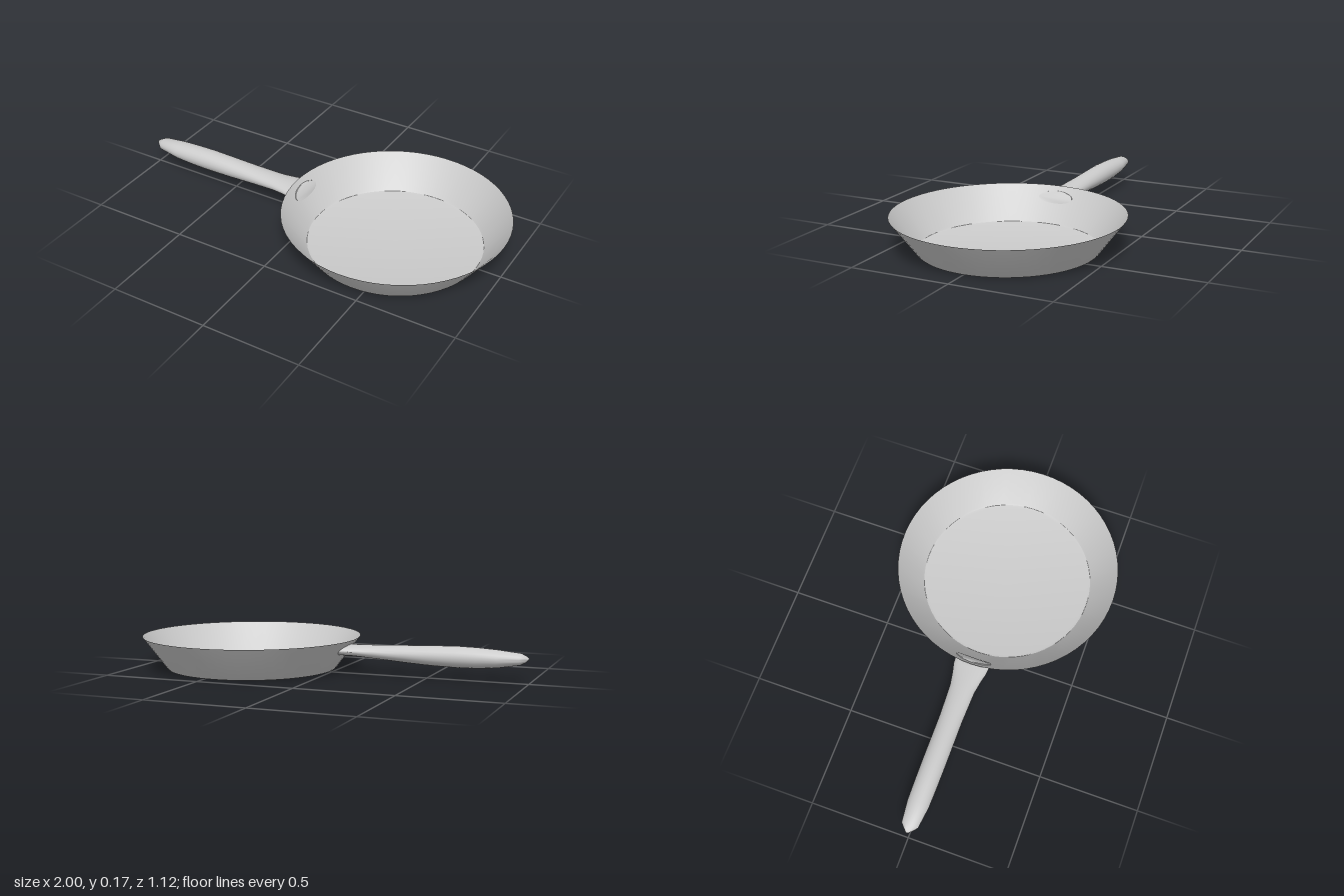
import * as THREE from 'three';
import { toCreasedNormals } from 'three/addons/utils/BufferGeometryUtils.js';

const PAN_X = 0.44;
const wallRadius = (y) => 0.44 + 0.12 * (y - 0.01) / 0.16;

// Thin sheet bowl: flat base, small rounded corner, flared wall
function makePan(material) {
  const profile = [[0, 0], [0.42, 0], [0.433, 0.003], [0.44, 0.01], [0.56, 0.17]]
    .map(([r, y]) => new THREE.Vector2(r, y));
  const pan = new THREE.Mesh(toCreasedNormals(new THREE.LatheGeometry(profile, 64), 0.4), material);
  pan.name = 'pan';
  pan.position.x = PAN_X;
  return pan;
}

// Handle lofted from oval sections: x, bottom y, top y, half width
function makeHandle(material) {
  const sections = [
    [-1, 0.118, 0.124, 0.004], [-0.985, 0.104, 0.135, 0.02], [-0.96, 0.09, 0.146, 0.042],
    [-0.85, 0.07, 0.157, 0.055], [-0.75, 0.062, 0.163, 0.057], [-0.65, 0.06, 0.165, 0.058],
    [-0.52, 0.063, 0.161, 0.058], [-0.4, 0.07, 0.156, 0.058], [-0.24, 0.082, 0.149, 0.064],
    [-0.17, 0.088, 0.147, 0.076], [-0.13, 0.091, 0.146, 0.086], [-0.08, 0.092, 0.146, 0.092],
  ];
  const sides = 24;
  const positions = [], indices = [];
  sections.forEach(([x, low, high, half], i) => {
    for (let j = 0; j < sides; j++) {
      const a = (j / sides) * Math.PI * 2;
      const y = (low + high) / 2 + Math.sin(a) * (high - low) / 2;
      const z = Math.cos(a) * half;
      // The last section follows the sloping, curved pan wall
      const last = i === sections.length - 1;
      positions.push(last ? PAN_X + 0.004 - Math.sqrt(wallRadius(y) ** 2 - z * z) : x, y, z);
      if (!last) {
        const k = (j + 1) % sides, p = i * sides, q = p + sides;
        indices.push(p + j, q + j, p + k, q + j, q + k, p + k);
      }
    }
  });
  // Close both ends
  const end = (sections.length - 1) * sides;
  for (let j = 1; j < sides - 1; j++) {
    indices.push(0, j, j + 1, end, end + j + 1, end + j);
  }
  const geometry = new THREE.BufferGeometry();
  geometry.setAttribute('position', new THREE.Float32BufferAttribute(positions, 3));
  geometry.setIndex(indices);
  const handle = new THREE.Mesh(toCreasedNormals(geometry, 0.75), material);
  handle.name = 'handle';
  return handle;
}

export function createModel() {
  const material = new THREE.MeshStandardMaterial({ color: 0xcccccc, side: THREE.DoubleSide });
  const model = new THREE.Group();
  model.name = 'fryingPan';
  model.add(makePan(material), makeHandle(material));
  return model;
}
